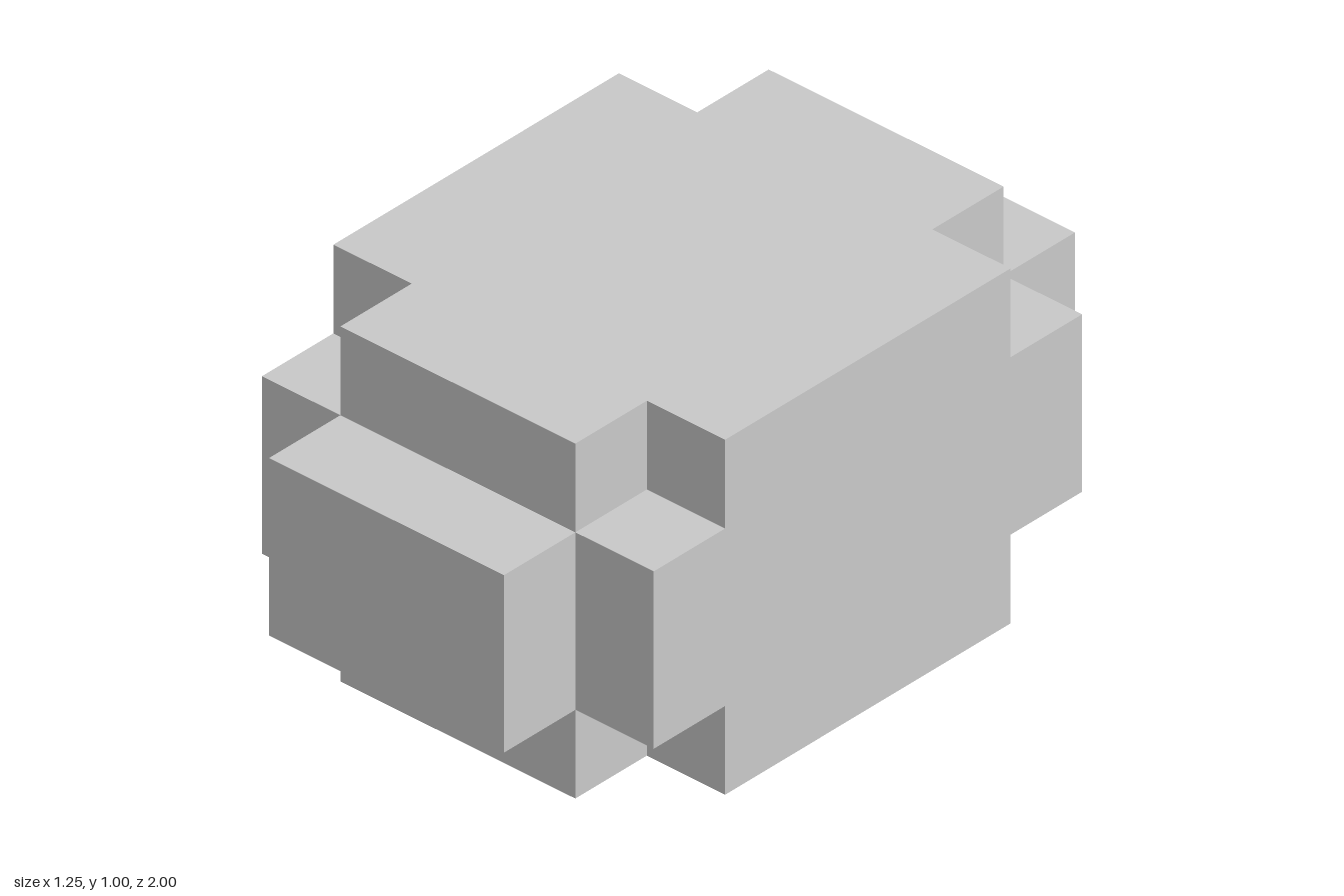
import * as THREE from 'three';

const W = 0.625, IN = 0.375; // outer and inner half widths
const H = 0.5, IH = 0.25; // outer and inner half heights

export function createModel() {
  const group = new THREE.Group();
  group.name = 'steppedBlock';
  const material = new THREE.MeshStandardMaterial({ color: 0xcccccc, flatShading: true });

  const add = (name, geometry, z) => {
    const mesh = new THREE.Mesh(geometry, material);
    mesh.name = name;
    mesh.position.set(0, H, z);
    group.add(mesh);
  };

  // full-size middle
  add('body', new THREE.BoxGeometry(2 * W, 2 * H, 1), 0);

  // plus-shaped step with notched corners
  const plus = new THREE.Shape([
    [IN, -H], [IN, -IH], [W, -IH], [W, IH], [IN, IH], [IN, H],
    [-IN, H], [-IN, IH], [-W, IH], [-W, -IH], [-IN, -IH], [-IN, -H],
  ].map(([x, y]) => new THREE.Vector2(x, y)));
  const step = new THREE.ExtrudeGeometry(plus, { depth: 0.25, bevelEnabled: false });
  step.translate(0, 0, -0.125);

  // raised end panel
  const panel = new THREE.BoxGeometry(2 * IN, 2 * IH, 0.25);

  // the same step and panel at both ends
  for (const [end, s] of [['front', 1], ['back', -1]]) {
    add(end + 'Step', step, s * 0.625);
    add(end + 'Panel', panel, s * 0.875);
  }
  return group;
}
